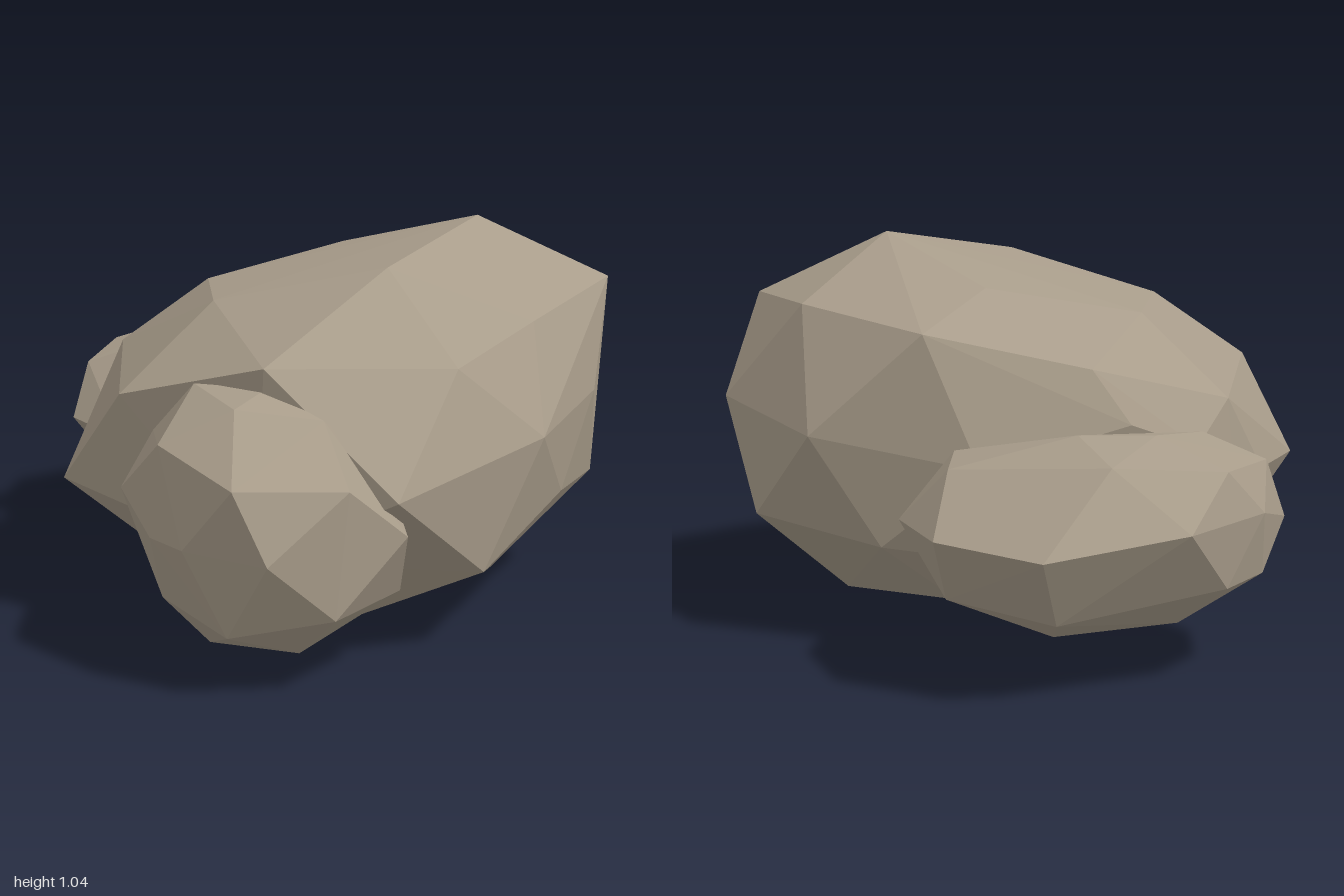
import * as THREE from 'three';
import { ConvexGeometry } from 'three/addons/geometries/ConvexGeometry.js';

const stone = new THREE.MeshStandardMaterial({ color: 0xa89c8a });
stone.name = 'stone';

// A faceted boulder: the convex skin around a handful of corner points
function boulder(name, corners) {
  const points = corners.map(([x, y, z]) => new THREE.Vector3(x, y, z));
  const mesh = new THREE.Mesh(new ConvexGeometry(points), stone);
  mesh.name = name;
  return mesh;
}

// Large boulder, listed from the crest down to the base
const largeCorners = [
  // crest
  [0.48, 1.04, -0.29], [0.48, 0.96, 0.22], [0, 0.92, -0.38], [0.35, 0.88, -0.72],
  [0.78, 0.865, -0.51], [0.78, 0.81, -0.03], [-0.23, 0.84, -0.01], [-0.12, 0.84, -0.73],
  [0.02, 0.85, 0.34], [-0.39, 0.74, -0.39],
  // shoulders
  [0.41, 0.77, 0.71], [0.755, 0.745, 0.35], [-0.06, 0.645, 0.66], [-0.525, 0.635, 0],
  [0.65, 0.605, -0.745], [0.84, 0.585, -0.3], [-0.48, 0.6, -0.34],
  // waist
  [0.14, 0.57, -0.89], [0.895, 0.545, 0.135], [-0.56, 0.53, -0.17], [-0.26, 0.5, -0.67],
  [0.76, 0.47, 0.66], [-0.51, 0.42, 0.17], [-0.55, 0.41, 0], [-0.29, 0.38, 0.6],
  // underside
  [0.84, 0.345, -0.1], [0.42, 0.32, -0.835], [0.74, 0.3, -0.52], [0, 0.28, -0.77],
  [0.37, 0.27, 0.68], [0.81, 0.215, 0.295], [-0.39, 0.19, 0.17], [-0.3, 0.2, -0.4],
  [0.02, 0.13, 0.45], [0.63, 0.095, -0.11], [0.4, 0.065, -0.53], [0, 0.09, -0.5],
  [-0.09, 0.04, 0.05], [0.37, 0, 0.295],
];

// Small boulder leaning on the front
const frontCorners = [
  [0.505, 0.54, 1], [0.59, 0.365, 0.98], [0.35, 0.37, 0.98], [0.23, 0.375, 0.94],
  [0.455, 0.16, 0.945], [0.235, 0.6, 0.91], [0.21, 0.2, 0.86],
  [0.4, 0.69, 0.825], [0.08, 0.46, 0.85], [0.7, 0.52, 0.79], [0.67, 0.2, 0.8],
  [0.2, 0.71, 0.7], [0.4, 0.715, 0.68], [0.575, 0.66, 0.7], [0.06, 0.57, 0.68],
  [0.01, 0.42, 0.65], [0, 0.3, 0.62], [0.765, 0.38, 0.62], [0.095, 0.15, 0.65],
  [0.52, 0.07, 0.72], [0.27, 0.06, 0.74], [0.38, 0.05, 0.545], [0.68, 0.2, 0.5],
  [0.35, 0.115, 0.43], [0.2, 0.55, 0.45], [0.6, 0.5, 0.45],
];

// Flat boulder tucked behind on the right
const backCorners = [
  [-0.655, 0.61, -0.45], [-0.53, 0.615, -0.6], [-0.72, 0.57, -0.69], [-0.33, 0.54, -0.85],
  [-0.6, 0.58, -0.2], [-0.2, 0.55, -0.7], [-0.857, 0.54, -0.42], [-0.76, 0.52, -0.14],
  [-0.43, 0.4, -1], [-0.72, 0.38, -0.93], [-0.9, 0.42, -0.61], [-0.87, 0.42, -0.29],
  [-0.76, 0.36, -0.06], [-0.55, 0.33, -0.01], [-0.185, 0.4, -0.88], [-0.11, 0.4, -0.77],
  [-0.857, 0.25, -0.42], [-0.82, 0.25, -0.23], [-0.66, 0.2, -0.82], [-0.38, 0.235, -0.91],
  [-0.4, 0.18, -0.1], [-0.685, 0.13, -0.4], [-0.52, 0.12, -0.68], [-0.29, 0.1, -0.55],
];

export function createModel() {
  const rocks = new THREE.Group();
  rocks.name = 'rockCluster';
  rocks.add(
    boulder('largeBoulder', largeCorners),
    boulder('frontBoulder', frontCorners),
    boulder('backBoulder', backCorners),
  );
  return rocks;
}
